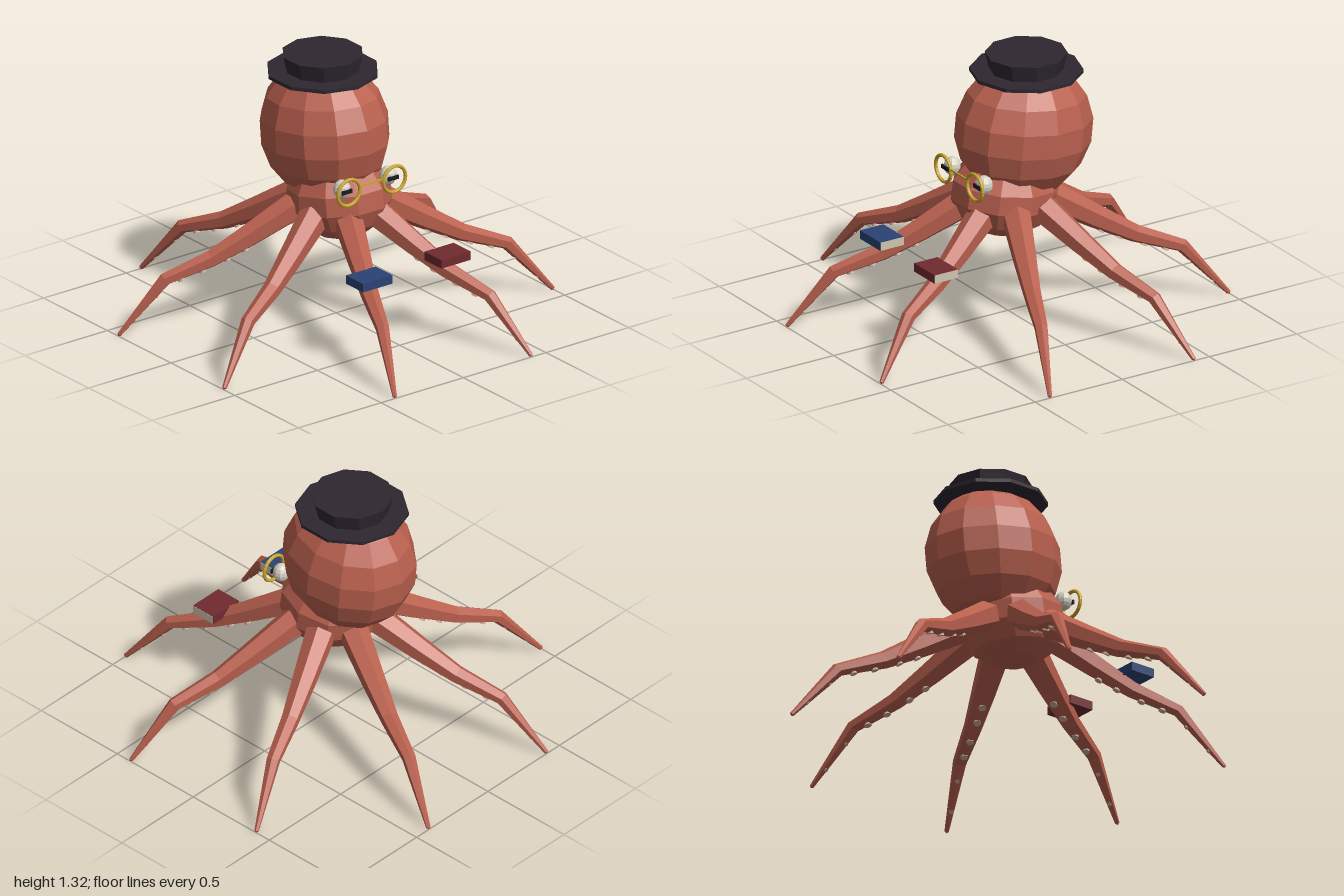
import * as THREE from 'three';

const mat = (name, color) => {
  const m = new THREE.MeshStandardMaterial({ color, flatShading: true });
  m.name = name;
  return m;
};

// Lofts six-sided rings along a radial arm path of [distance, height, radius]
function armGeometry(path, sides = 6) {
  const pos = [], index = [];
  path.forEach(([x, y, r], j) => {
    const a = path[Math.max(j - 1, 0)], b = path[Math.min(j + 1, path.length - 1)];
    const len = Math.hypot(b[0] - a[0], b[1] - a[1]);
    const tx = (b[0] - a[0]) / len, ty = (b[1] - a[1]) / len;
    for (let k = 0; k < sides; k++) {
      const t = (k / sides) * Math.PI * 2, up = r * Math.cos(t);
      pos.push(x - ty * up, y + tx * up, r * Math.sin(t));
      if (j < path.length - 1) {
        const p = j * sides + k, q = j * sides + (k + 1) % sides;
        index.push(p, q, p + sides, q, q + sides, p + sides);
      }
    }
  });
  const g = new THREE.BufferGeometry();
  g.setAttribute('position', new THREE.Float32BufferAttribute(pos, 3));
  g.setIndex(index);
  g.computeVertexNormals();
  return g;
}

export function createModel() {
  const model = new THREE.Group();
  model.name = 'octopus';
  const skin = mat('skin', 0xb9604e), felt = mat('hat felt', 0x2e2731);
  const gold = mat('gold', 0xc9a52c), white = mat('eye white', 0xd6d0c4);
  const black = mat('pupil', 0x1c1a22), blue = mat('blue cover', 0x2a4275);
  const red = mat('red cover', 0x702a2e), paper = mat('paper', 0xd0c6b0);
  const sucker = mat('sucker', 0xcfae9c);

  const add = (name, geo, material, x = 0, y = 0, z = 0, parent = model) => {
    const m = new THREE.Mesh(geo, material);
    m.name = name;
    m.position.set(x, y, z);
    parent.add(m);
    return m;
  };

  // Body: mantle above a smaller head that rises towards the face
  const mantle = add('mantle', new THREE.SphereGeometry(1, 12, 9), skin, 0, 0.945, -0.09);
  mantle.scale.set(0.3, 0.35, 0.35);
  mantle.rotation.x = -0.1;
  const head = add('head', new THREE.SphereGeometry(1, 10, 7), skin, 0, 0.64, 0.025);
  head.scale.set(0.25, 0.215, 0.27);
  head.rotation.x = -0.15;

  // Hat with a crown that flares upward
  add('hatBrim', new THREE.CylinderGeometry(0.275, 0.275, 0.018, 10), felt, 0, 1.241, -0.105);
  add('hatCrown', new THREE.CylinderGeometry(0.2, 0.18, 0.085, 10), felt, 0, 1.291, -0.105);

  // Eyes and round spectacles
  for (const s of [1, -1]) {
    const eye = add('eye', new THREE.SphereGeometry(1, 10, 8), white, s * 0.14, 0.768, 0.228);
    eye.scale.set(0.043, 0.048, 0.042);
    add('pupil', new THREE.BoxGeometry(0.06, 0.02, 0.009), black, s * 0.14, 0.766, 0.268);
    add('spectacleRim', new THREE.TorusGeometry(0.067, 0.009, 8, 20), gold, s * 0.138, 0.766, 0.28);
  }
  add('spectacleBridge', new THREE.BoxGeometry(0.15, 0.008, 0.008), gold, 0, 0.783, 0.28);

  // Eight arms, each with a row of suckers underneath
  const path = [
    [0.18, 0.605, 0], [0.21, 0.59, 0.075], [0.43, 0.464, 0.06], [0.62, 0.362, 0.045],
    [0.85, 0.28, 0.034], [1.078, 0.016, 0.011], [1.083, 0.01, 0],
  ];
  const armGeo = armGeometry(path);
  const suckerGeo = new THREE.CylinderGeometry(0.016, 0.019, 0.012, 8);
  for (let i = 0; i < 8; i++) {
    const arm = new THREE.Group();
    arm.name = 'arm';
    arm.rotation.y = ((i + 0.5) * Math.PI) / 4;
    model.add(arm);
    add('armLimb', armGeo, skin, 0, 0, 0, arm);
    for (let j = 2; j < 5; j++) {
      const [ax, ay, ar] = path[j], [bx, by, br] = path[j + 1];
      const slope = Math.atan2(by - ay, bx - ax);
      for (const t of [0.25, 0.7]) {
        const r = ar + (br - ar) * t - 0.004;
        const disc = add('sucker', suckerGeo, sucker,
          ax + (bx - ax) * t + Math.sin(slope) * r,
          ay + (by - ay) * t - Math.cos(slope) * r, 0, arm);
        disc.rotation.z = slope;
        disc.scale.setScalar(j === 4 ? 0.6 : 1);
      }
    }
  }

  // Books resting on the two front arms, page edges on their left
  for (const [s, cover] of [[-1, blue], [1, red]]) {
    const book = new THREE.Group();
    book.name = 'book';
    book.position.set(s * 0.237, 0.437, 0.568);
    model.add(book);
    add('bookCover', new THREE.BoxGeometry(0.178, 0.044, 0.134), cover, 0, 0, 0, book);
    add('bookPages', new THREE.BoxGeometry(0.004, 0.042, 0.132), paper, 0.089, 0, 0, book);
  }
  return model;
}
